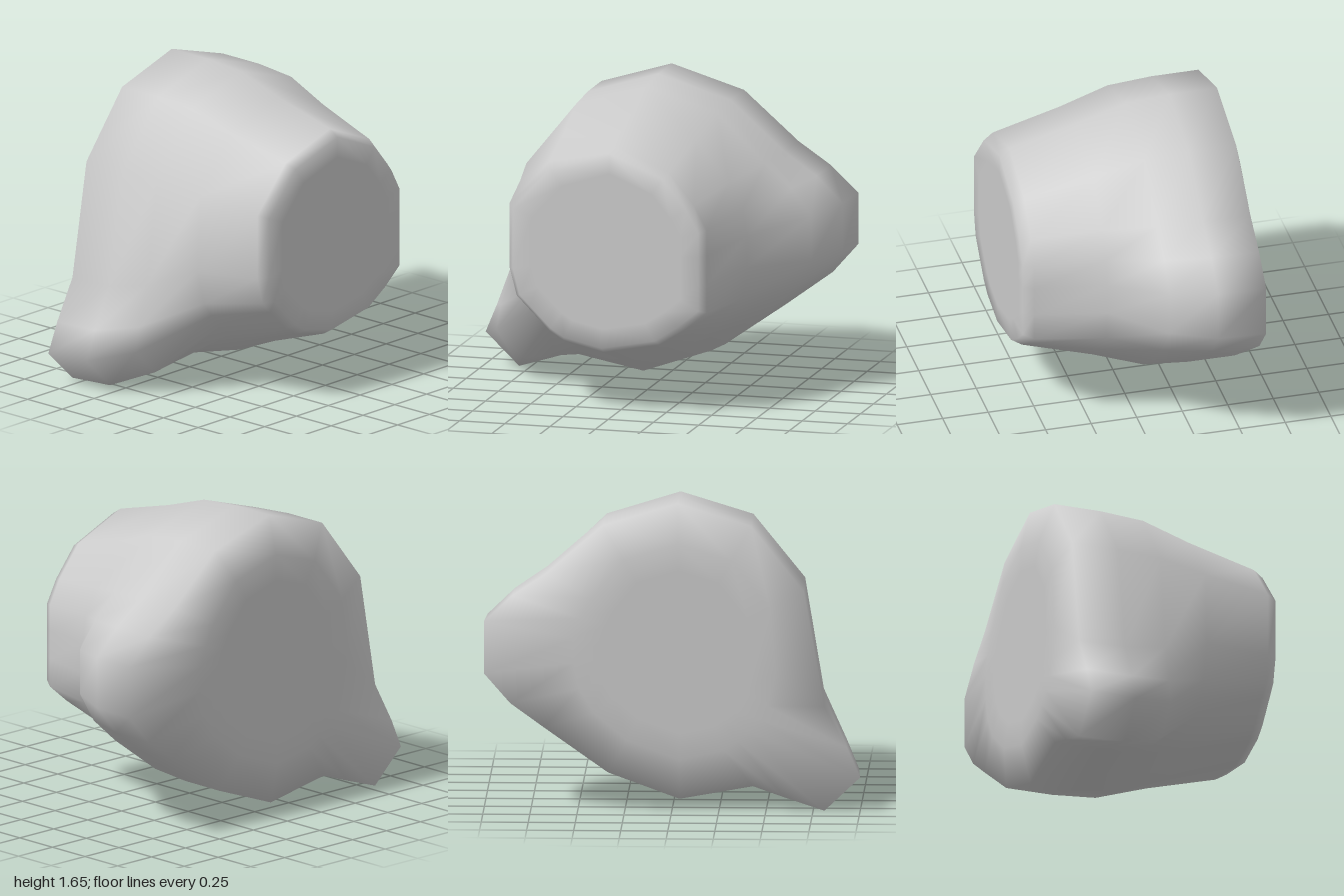
import * as THREE from 'three';

// Outline points, clockwise from the top: front x,y | body back x,y | lobe tip x,y
const OUTLINE = [
  [-0.03, 1.45, -0.03, 1.65],
  [0.28, 1.32, 0.37, 1.53],
  [0.42, 1.15, 0.6, 1.25, 0.67, 1.27],
  [0.49, 1.02, 0.68, 1.1, 0.85, 1.15],
  [0.49, 0.88, 0.73, 0.95, 1, 1.01],
  [0.49, 0.72, 0.73, 0.77, 1, 0.73],
  [0.49, 0.57, 0.69, 0.58, 0.86, 0.57],
  [0.37, 0.47, 0.58, 0.4, 0.68, 0.44],
  [0.23, 0.38, 0.34, 0.2],
  [-0.08, 0.32, -0.04, 0.06],
  [-0.3, 0.37, -0.36, 0.13, -0.43, 0.13],
  [-0.38, 0.42, -0.46, 0.2, -0.6, 0.07],
  [-0.44, 0.48, -0.55, 0.27, -0.81, 0],
  [-0.5, 0.54, -0.62, 0.36, -1, 0.18],
  [-0.56, 0.6, -0.68, 0.46, -0.93, 0.34],
  [-0.6, 0.75, -0.74, 0.7, -0.81, 0.56],
  [-0.6, 1.1, -0.7, 1.18],
  [-0.38, 1.34, -0.42, 1.53],
];

// Cross-sections from front to back: taper t, lobe growth w, scale s about the axis
const SECTIONS = [
  { z: 0.615, t: 0, w: 0, s: 0.75 },
  { z: 0.615, t: 0, w: 0, s: 0.94 },
  { z: 0.56, t: 0, w: 0, s: 1 },
  { z: 0.19, t: 0.48, w: 0, s: 1 },
  { z: -0.08, t: 0.74, w: 0.65, s: 1 },
  { z: -0.32, t: 0.92, w: 0.96, s: 1 },
  { z: -0.58, t: 1, w: 1, s: 1 },
  { z: -0.63, t: 1, w: 0, s: 0.73 },
  { z: -0.63, t: 1, w: 0, s: 0.55 },
];

const AXIS = [-0.04, 0.87];

function buildBody() {
  const { lerp } = THREE.MathUtils;
  const n = OUTLINE.length;
  const positions = [];
  const index = [];
  for (const { z, t, w, s } of SECTIONS) {
    for (const [fx, fy, bx, by, ex = bx, ey = by] of OUTLINE) {
      const x = lerp(lerp(fx, bx, t), ex, w);
      const y = lerp(lerp(fy, by, t), ey, w);
      positions.push(lerp(AXIS[0], x, s), lerp(AXIS[1], y, s), z);
    }
  }
  // skin between neighbouring sections
  for (let k = 0; k < SECTIONS.length - 1; k++) {
    for (let i = 0; i < n; i++) {
      const j = (i + 1) % n;
      const a = k * n + i, b = k * n + j, c = a + n, d = b + n;
      index.push(a, b, c, b, d, c);
    }
  }
  // front and back caps
  const front = SECTIONS.length * n, back = front + 1, last = front - n;
  positions.push(...AXIS, 0.615, ...AXIS, -0.63);
  for (let i = 0; i < n; i++) {
    const j = (i + 1) % n;
    index.push(front, j, i, back, last + i, last + j);
  }
  const geometry = new THREE.BufferGeometry();
  geometry.setAttribute('position', new THREE.Float32BufferAttribute(positions, 3));
  geometry.setIndex(index);
  geometry.computeVertexNormals();
  return geometry;
}

export function createModel() {
  const group = new THREE.Group();
  group.name = 'lobedBlock';
  const body = new THREE.Mesh(buildBody(), new THREE.MeshStandardMaterial({ color: 0xcccccc }));
  body.name = 'taperedBodyWithLobes';
  group.add(body);
  return group;
}
